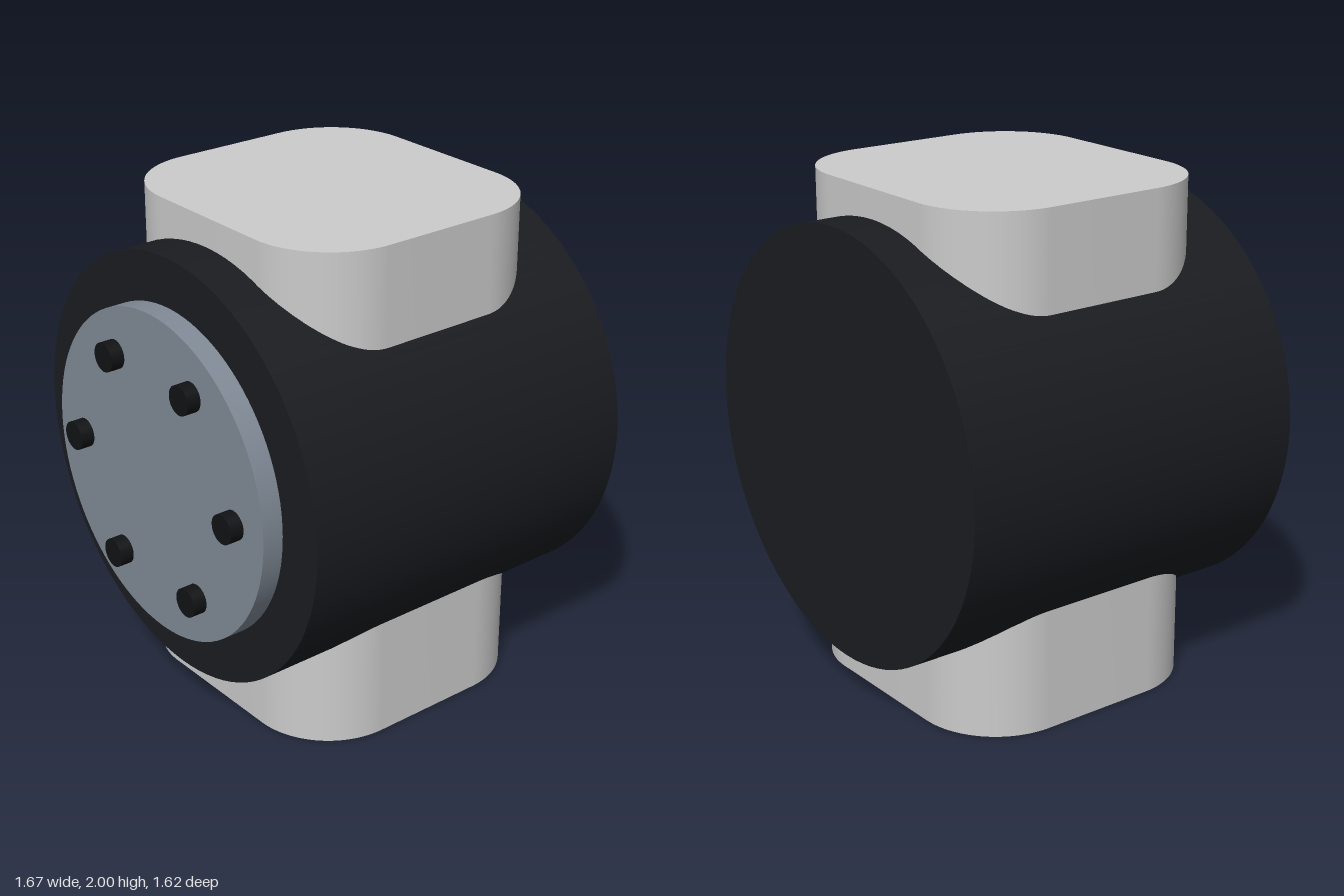
import * as THREE from 'three';
import { toCreasedNormals } from 'three/addons/utils/BufferGeometryUtils.js';

const AXIS_Y = 1.05; // height of the drum axis

const paint = (color) => new THREE.MeshStandardMaterial({ color });

// Round part lying along z, from z0 to z1
function disc(name, radius, z0, z1, material, sides, x = 0, y = AXIS_Y) {
  const geometry = new THREE.CylinderGeometry(radius, radius, z1 - z0, sides);
  geometry.rotateX(Math.PI / 2);
  const mesh = new THREE.Mesh(geometry, material);
  mesh.name = name;
  mesh.position.set(x, y, (z0 + z1) / 2);
  return mesh;
}

// Rectangle with rounded corners, centred on the origin
function roundedRect(w, d, r) {
  const x = w / 2, y = d / 2, q = Math.PI / 2;
  const s = new THREE.Shape();
  s.absarc(x - r, y - r, r, 0, q);
  s.absarc(r - x, y - r, r, q, 2 * q);
  s.absarc(r - x, r - y, r, 2 * q, 3 * q);
  s.absarc(x - r, r - y, r, 3 * q, 4 * q);
  s.closePath();
  return s;
}

export function createModel() {
  const group = new THREE.Group();
  group.name = 'jointModule';
  const black = paint(0x1a1c20);
  const steel = paint(0x808a96);
  const boltBlack = paint(0x111214);

  // Upright link passing through the drum
  const linkGeometry = new THREE.ExtrudeGeometry(roundedRect(1.23, 1.14, 0.33), {
    depth: 2, bevelEnabled: false, curveSegments: 16,
  });
  linkGeometry.rotateX(-Math.PI / 2);
  const link = new THREE.Mesh(toCreasedNormals(linkGeometry, 0.6), paint(0xcccccc));
  link.name = 'link';
  link.position.z = -0.07;
  group.add(link);

  // Motor drum and its front flange
  group.add(disc('drum', 0.836, -0.81, 0.67, black, 96));
  group.add(disc('flange', 0.645, 0.66, 0.755, steel, 96));

  // Ring of six bolts
  const bolts = new THREE.Group();
  bolts.name = 'bolts';
  for (let i = 0; i < 6; i++) {
    const a = (i * Math.PI) / 3;
    bolts.add(disc('bolt', 0.057, 0.74, 0.81, boltBlack, 32,
      0.475 * Math.cos(a), AXIS_Y + 0.475 * Math.sin(a)));
  }
  group.add(bolts);
  return group;
}
